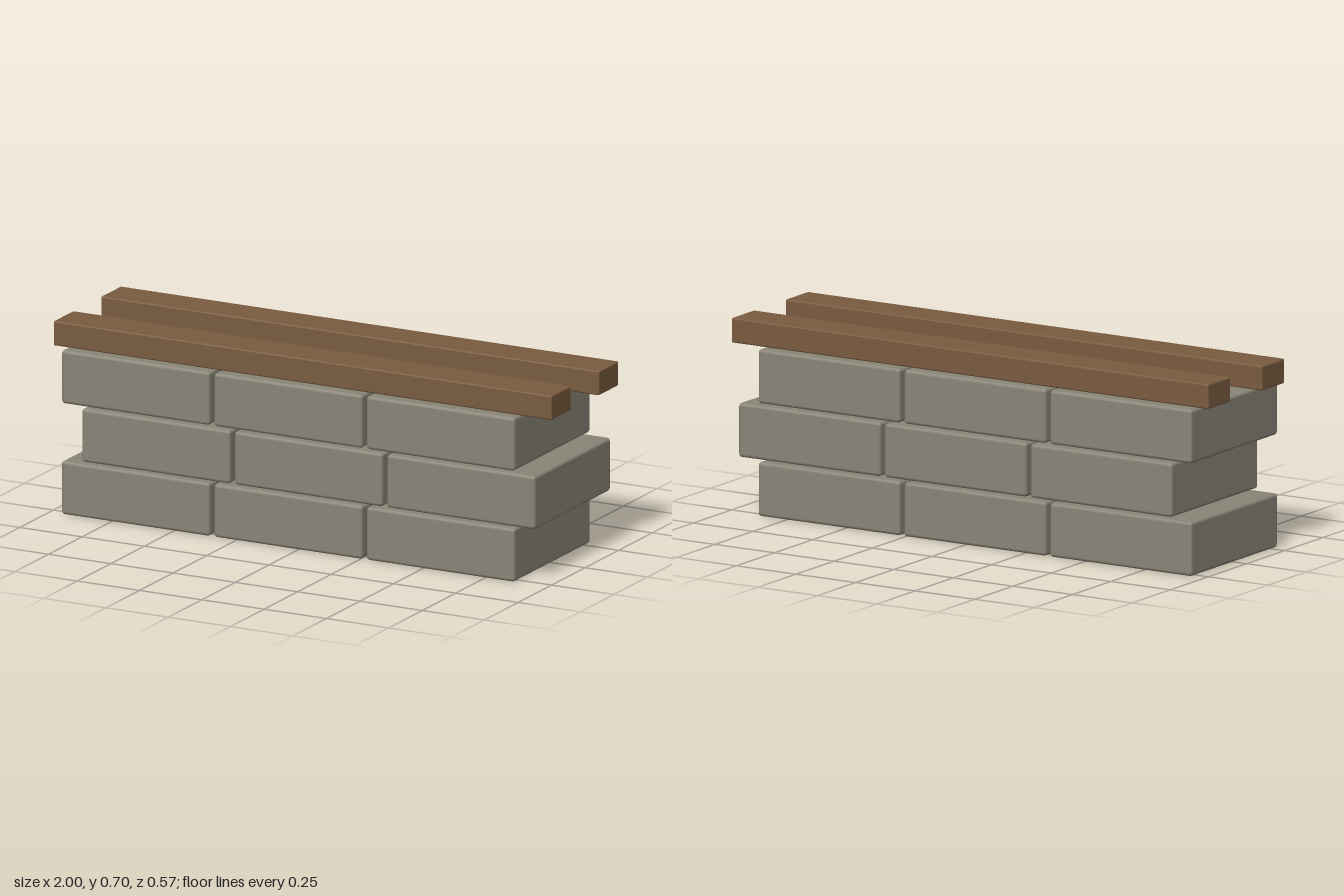
import * as THREE from 'three';
import { RoundedBoxGeometry } from 'three/addons/geometries/RoundedBoxGeometry.js';

export function createModel() {
  const group = new THREE.Group();
  group.name = 'stoneWallBench';

  const stone = new THREE.MeshStandardMaterial({ color: 0x8a8578 });
  stone.name = 'stone';
  const wood = new THREE.MeshStandardMaterial({ color: 0x7a5c40 });
  wood.name = 'wood';

  const add = (parent, name, geometry, material, x, y, z) => {
    const mesh = new THREE.Mesh(geometry, material);
    mesh.name = name;
    mesh.position.set(x, y, z);
    parent.add(mesh);
  };

  // Three courses of blocks, the middle one shifted sideways
  const blockW = 0.595, blockH = 0.196, blockD = 0.57;
  const pitchX = 0.612, pitchY = 0.204;
  const block = new RoundedBoxGeometry(blockW, blockH, blockD, 2, 0.012);
  for (let row = 0; row < 3; row++) {
    const course = new THREE.Group();
    course.name = `stoneCourse${row + 1}`;
    const shift = row % 2 ? 0.041 : -0.041;
    for (let i = 0; i < 3; i++) {
      add(course, `stoneBlock${i + 1}`, block, stone,
        shift + (i - 1) * pitchX, blockH / 2 + row * pitchY, 0);
    }
    group.add(course);
  }

  // Two long beams lying on top
  const beam = new RoundedBoxGeometry(2, 0.09, 0.148, 2, 0.006);
  add(group, 'frontBeam', beam, wood, 0, 0.651, 0.177);
  add(group, 'backBeam', beam, wood, 0, 0.651, -0.177);

  return group;
}
